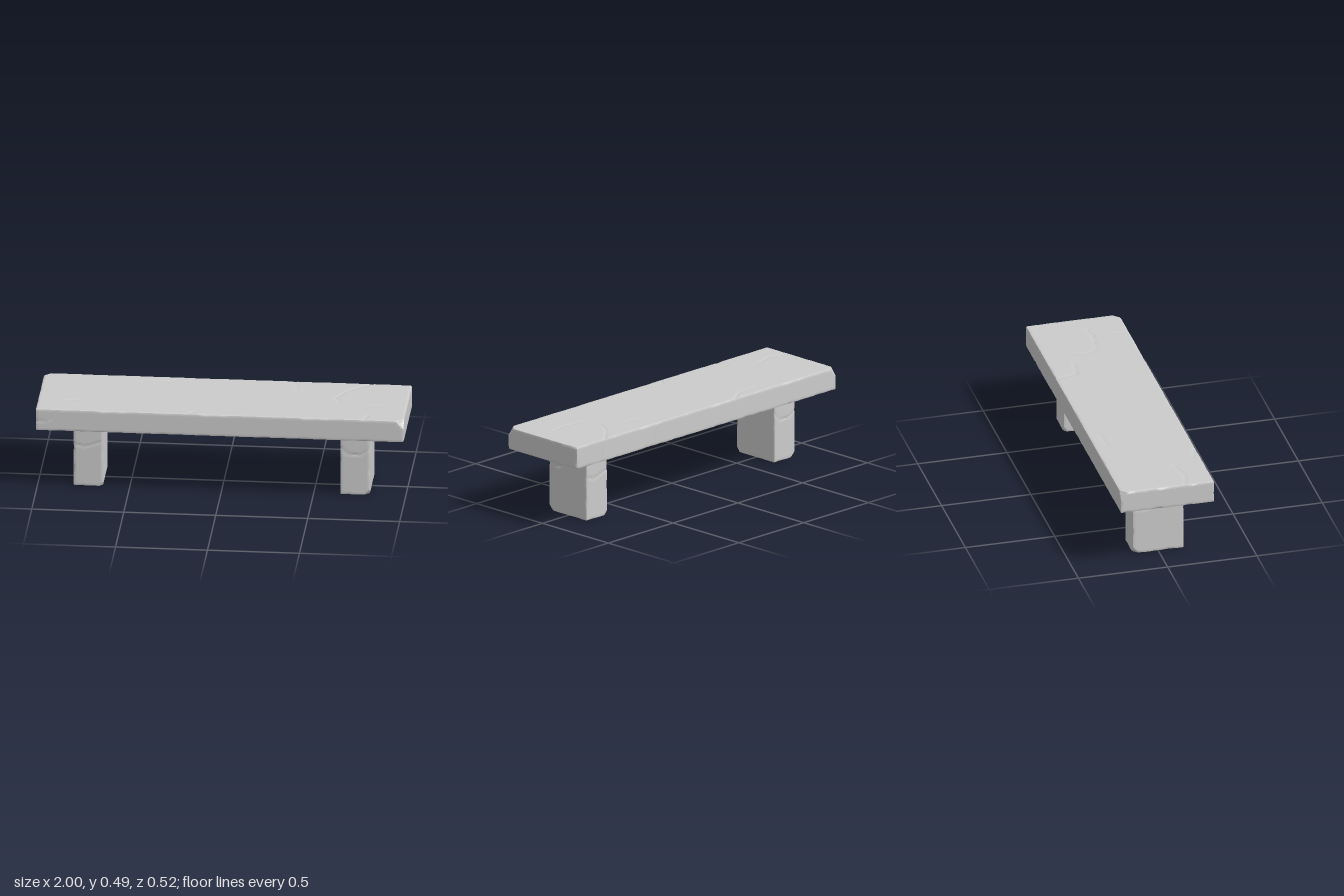
import * as THREE from 'three';
import { mergeVertices, toCreasedNormals } from 'three/addons/utils/BufferGeometryUtils.js';

const AXES = ['x', 'y', 'z'];
const BEVEL = 0.007; // width of the narrow rows along every edge
const CELL = 0.01; // grid size of the stone faces

// Distance from (u, v) to a polyline of [u, v] points
function lineDistance(u, v, line) {
  let best = Infinity;
  for (let i = 1; i < line.length; i++) {
    const [au, av] = line[i - 1], [bu, bv] = line[i];
    const du = bu - au, dv = bv - av;
    const t = THREE.MathUtils.clamp(((u - au) * du + (v - av) * dv) / (du * du + dv * dv), 0, 1);
    best = Math.min(best, Math.hypot(u - au - du * t, v - av - dv * t));
  }
  return best;
}

// Smooth repeatable variation, about -1 to 1
const wobble = (p) =>
  (Math.sin(p.x * 23 + p.z * 9) + Math.sin(p.x * 57 + p.y * 41 + p.z * 37) + Math.sin(p.x * 11 - p.y * 63 + p.z * 71)) / 3;

// Worn stone block: soft irregular edges, broken corners and shallow cracks.
// chips: { n: outward direction, cut: depth below the corner along n }
// cracks: { axis, side, line } with the line in the two other axes, in x, y, z order
function stoneBlock(size, chips, cracks) {
  const half = size.clone().multiplyScalar(0.5);
  const segs = AXES.map((a) => Math.round(size[a] / CELL) + 2);
  const geo = new THREE.BoxGeometry(size.x, size.y, size.z, ...segs);
  const pos = geo.attributes.position;
  const p = new THREE.Vector3(), q = new THREE.Vector3(), d = new THREE.Vector3();
  const planes = chips.map(({ n, cut }) => {
    const normal = new THREE.Vector3(...n).normalize();
    const corner = new THREE.Vector3(...n.map((c, i) => Math.sign(c) * half[AXES[i]]));
    return { normal, limit: normal.dot(corner) - cut };
  });

  for (let i = 0; i < pos.count; i++) {
    p.fromBufferAttribute(pos, i);
    // Gather the outer grid rows close to the edges
    AXES.forEach((a, k) => {
      const n = segs[k], idx = Math.round((p[a] / size[a] + 0.5) * n);
      if (idx === 0 || idx === n) p[a] = idx ? half[a] : -half[a];
      else p[a] = -half[a] + BEVEL + ((idx - 1) / (n - 2)) * (size[a] - 2 * BEVEL);
    });
    const flat = p.clone();

    // Uneven edge rounding
    const r = 0.006 + 0.006 * Math.max(0, wobble(p));
    AXES.forEach((a) => (q[a] = THREE.MathUtils.clamp(p[a], -half[a] + r, half[a] - r)));
    d.subVectors(p, q);
    if (d.length() > r) p.copy(q).addScaledVector(d, r / d.length());

    // Cracks pressed into the faces
    for (const { axis, side, line } of cracks) {
      if (Math.abs(flat[axis] - side * half[axis]) > 1e-5) continue;
      const [u, v] = AXES.filter((a) => a !== axis);
      const near = lineDistance(flat[u], flat[v], line);
      p[axis] -= side * 0.0035 * Math.max(0, 1 - near / 0.009);
    }

    // Broken corners with a slightly rough surface
    for (const { normal, limit } of planes) {
      const over = normal.dot(p) - limit;
      if (over > 0) p.addScaledVector(normal, -over - 0.15 * over * (1 + wobble(flat)));
    }
    pos.setXYZ(i, p.x, p.y, p.z);
  }
  geo.deleteAttribute('uv');
  geo.deleteAttribute('normal');
  return toCreasedNormals(mergeVertices(geo, 1e-5), 0.6);
}

export function createModel() {
  const group = new THREE.Group();
  group.name = 'stoneBench';
  const stone = new THREE.MeshStandardMaterial({ color: 0xcccccc });

  // Seat slab
  const seatCracks = [
    { axis: 'y', side: 1, line: [[-0.99, 0.1], [-0.88, 0.13], [-0.82, 0.11], [-0.76, 0.1]] },
    { axis: 'y', side: 1, line: [[-0.46, -0.19], [-0.32, -0.195], [-0.22, -0.26]] },
    { axis: 'y', side: 1, line: [[0.36, -0.26], [0.39, -0.14], [0.52, -0.12]] },
    { axis: 'y', side: 1, line: [[0.78, -0.26], [0.66, -0.15], [0.6, -0.04], [0.64, 0.04], [0.8, 0.06], [0.88, 0.045]] },
    { axis: 'y', side: 1, line: [[0.78, 0.26], [0.8, 0.19]] },
    { axis: 'y', side: 1, line: [[-0.17, 0.25], [-0.13, 0.2]] },
    { axis: 'y', side: 1, line: [[-0.7, 0.22], [-0.6, 0.26]] },
    { axis: 'y', side: -1, line: [[0.98, 0.12], [0.7, 0.08], [0.5, -0.1], [0.42, -0.26]] },
    { axis: 'x', side: 1, line: [[-0.06, 0.115], [0.06, 0.115]] },
    { axis: 'z', side: 1, line: [[-1, -0.01], [-0.92, 0], [-0.88, 0.06]] },
    { axis: 'z', side: -1, line: [[0.4, -0.06], [0.39, 0.06]] },
    { axis: 'z', side: -1, line: [[0.8, -0.06], [0.77, 0.06]] },
  ];
  const seatChips = [
    { n: [1, 0.9, 1], cut: 0.026 },
    { n: [-1, 0.8, -1], cut: 0.024 },
  ];
  const seat = new THREE.Mesh(stoneBlock(new THREE.Vector3(2, 0.124, 0.524), seatChips, seatCracks), stone);
  seat.name = 'seat';
  seat.position.y = 0.426;
  group.add(seat);

  // Two block legs, the second turned half a circle
  const legCracks = [
    { axis: 'x', side: 1, line: [[0.163, 0.09], [0.153, 0.01], [0.138, 0], [0.08, 0.05], [0.085, 0.143]] },
    { axis: 'z', side: 1, line: [[0.08, 0.085], [0.03, 0.05], [-0.04, 0.055], [-0.08, 0.09]] },
    { axis: 'z', side: -1, line: [[0.08, 0.06], [0.02, 0.045], [-0.08, 0.08]] },
  ];
  const legChips = [
    { n: [1, -1, 1], cut: 0.02 },
    { n: [-1, -0.8, -1], cut: 0.014 },
  ];
  const legGeo = stoneBlock(new THREE.Vector3(0.16, 0.366, 0.286), legChips, legCracks);
  for (const side of [1, -1]) {
    const leg = new THREE.Mesh(legGeo, stone);
    leg.name = side > 0 ? 'leftLeg' : 'rightLeg';
    leg.position.set(side * 0.725, 0.183, 0);
    leg.rotation.y = side > 0 ? 0 : Math.PI;
    group.add(leg);
  }
  return group;
}
